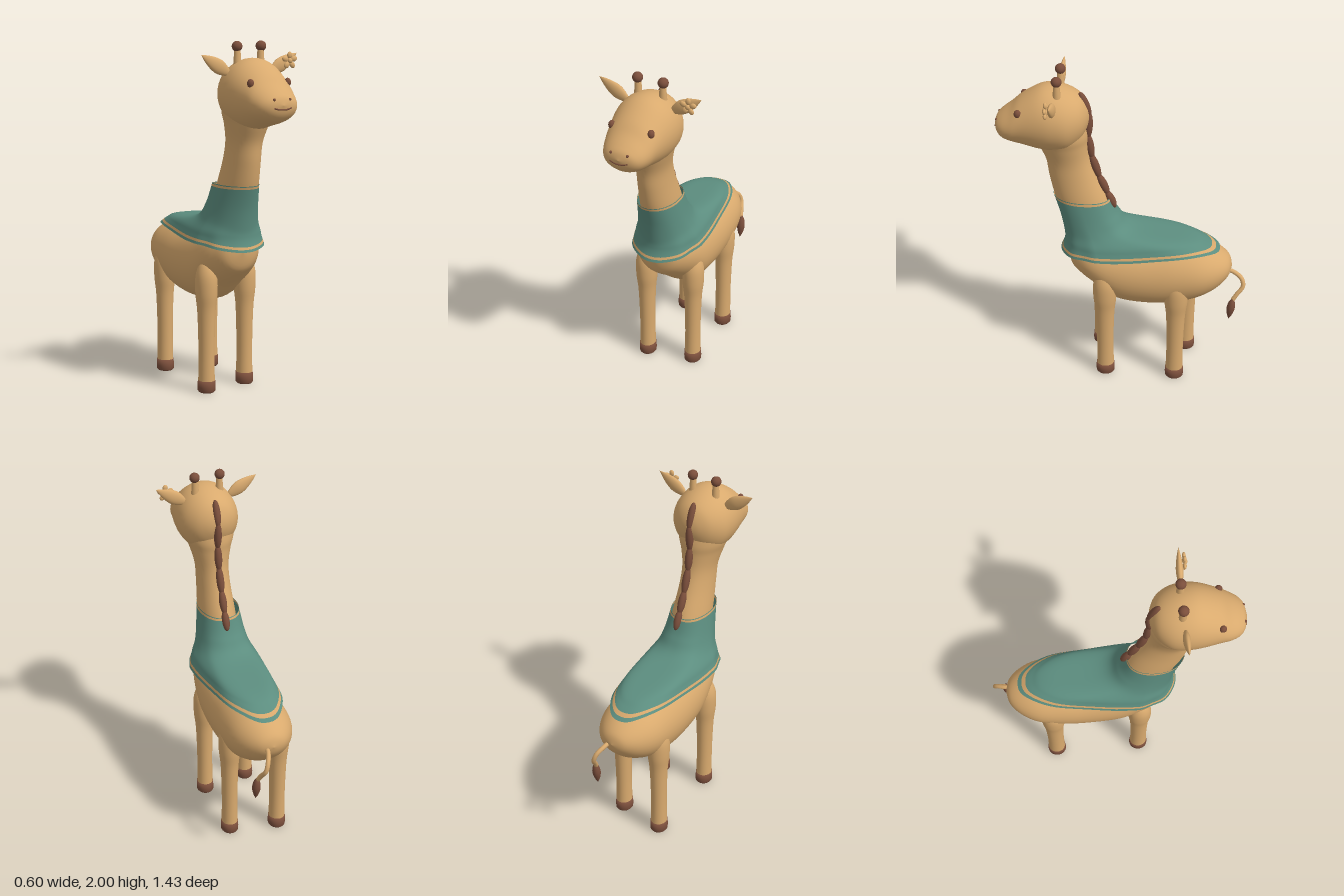
import * as THREE from 'three';

const mat = (name, color, side = THREE.FrontSide) => {
  const m = new THREE.MeshStandardMaterial({ color, side });
  m.name = name;
  return m;
};

// Smooth interpolation through rows of numbers, t from 0 to rows.length - 1
function sample(rows, t) {
  const n = rows.length - 1;
  const i = Math.min(Math.floor(t), n - 1), f = t - i;
  const p = (k) => rows[Math.max(0, Math.min(n, k))];
  return rows[0].map((_, c) => {
    const a = p(i - 1)[c], b = p(i)[c], d = p(i + 1)[c], e = p(i + 2)[c];
    return b + 0.5 * f * (d - a + f * (2 * a - 5 * b + 4 * d - e + f * (3 * (b - d) + e - a)));
  });
}

// Closed rings of points skinned into a surface
function loft(count, around, pointAt) {
  const pos = [], idx = [];
  for (let i = 0; i <= count; i++)
    for (let j = 0; j < around; j++) pos.push(...pointAt(i / count, (j / around) * Math.PI * 2));
  for (let i = 0; i < count; i++)
    for (let j = 0; j < around; j++) {
      const a = i * around + j, b = i * around + ((j + 1) % around);
      idx.push(a, b, a + around, b, b + around, a + around);
    }
  const g = new THREE.BufferGeometry();
  g.setAttribute('position', new THREE.Float32BufferAttribute(pos, 3));
  g.setIndex(idx);
  g.computeVertexNormals();
  return g;
}

// Sections along z: [z, bottom, top, halfWidth]
const loftZ = (rows, cx) => loft((rows.length - 1) * 5, 40, (v, a) => {
  const [z, lo, hi, w] = sample(rows, v * (rows.length - 1));
  return [cx + Math.max(w, 0) * Math.cos(a), (lo + hi) / 2 + Math.max(hi - lo, 0) / 2 * Math.sin(a), z];
});

// Sections along y: [y, back, front, halfWidth]
const loftY = (rows, cx) => loft((rows.length - 1) * 5, 40, (v, a) => {
  const [y, back, front, w] = sample(rows, v * (rows.length - 1));
  return [cx + w * Math.sin(a), y, (back + front) / 2 + (front - back) / 2 * Math.cos(a)];
});

export function createModel() {
  const model = new THREE.Group();
  model.name = 'giraffe';
  const tan = mat('tan', 0xd9aa6e);
  const trim = mat('trim', 0xd6a76c, THREE.DoubleSide);
  const brown = mat('brown', 0x7a4e3b);
  const teal = mat('teal', 0x5c8d7f, THREE.DoubleSide);

  const add = (name, geo, material, x = 0, y = 0, z = 0, parent = model) => {
    const m = new THREE.Mesh(geo, material);
    m.name = name;
    m.position.set(x, y, z);
    parent.add(m);
    return m;
  };
  const ball = new THREE.SphereGeometry(1, 24, 16);
  const lathe = (pts, n = 28) => new THREE.LatheGeometry(
    new THREE.SplineCurve(pts.map((p) => new THREE.Vector2(...p))).getPoints(pts.length * 4)
      .map((p) => new THREE.Vector2(Math.max(p.x, 0), p.y)), n);
  const bodyX = -0.025, headX = -0.012;

  // Torso, neck and head
  add('torso', loftZ([
    [-0.635, 0.76, 0.76, 0], [-0.615, 0.70, 0.82, 0.075], [-0.55, 0.625, 0.87, 0.14],
    [-0.45, 0.56, 0.91, 0.185], [-0.31, 0.51, 0.93, 0.2], [-0.15, 0.49, 0.93, 0.2],
    [0.03, 0.51, 0.95, 0.195], [0.16, 0.61, 0.97, 0.18], [0.24, 0.67, 0.97, 0.15],
    [0.3, 0.73, 0.94, 0.1], [0.325, 0.83, 0.83, 0]], bodyX), tan);
  add('neck', loftY([
    [0.75, 0, 0.28, 0.12], [0.95, 0, 0.325, 0.125], [1.1, 0.06, 0.36, 0.11],
    [1.21, 0.1, 0.397, 0.103], [1.34, 0.155, 0.424, 0.094], [1.45, 0.19, 0.44, 0.095],
    [1.55, 0.2, 0.48, 0.118], [1.62, 0.2, 0.5, 0.14], [1.72, 0.22, 0.5, 0.15]], -0.018), tan);
  add('head', loftZ([
    [0.188, 1.73, 1.73, 0], [0.2, 1.67, 1.79, 0.06], [0.235, 1.6, 1.85, 0.12],
    [0.3, 1.54, 1.89, 0.165], [0.38, 1.525, 1.91, 0.178], [0.46, 1.53, 1.9, 0.172],
    [0.56, 1.555, 1.84, 0.15], [0.62, 1.57, 1.785, 0.135], [0.67, 1.59, 1.745, 0.11],
    [0.7, 1.625, 1.715, 0.07], [0.714, 1.675, 1.675, 0]], headX), tan);

  // Legs and hooves
  const legGeo = lathe([[0.047, 0.06], [0.045, 0.2], [0.047, 0.35], [0.052, 0.48],
    [0.062, 0.58], [0.06, 0.68], [0.035, 0.75], [0, 0.77]]);
  const hoofGeo = new THREE.LatheGeometry([[0, 0], [0.044, 0], [0.05, 0.008], [0.051, 0.03],
    [0.049, 0.068], [0, 0.07]].map((p) => new THREE.Vector2(...p)), 28);
  for (const [name, x, z] of [['frontLeftLeg', 0.14, 0.1], ['frontRightLeg', -0.14, 0.15],
    ['backLeftLeg', 0.14, -0.32], ['backRightLeg', -0.14, -0.37]]) {
    const leg = new THREE.Group();
    leg.name = name;
    leg.position.set(bodyX + x, 0, z);
    add('shank', legGeo, tan, 0, 0, 0, leg);
    add('hoof', hoofGeo, brown, 0, 0, 0, leg);
    leg.scale.z = 1.1;
    model.add(leg);
  }

  // Cape levels: front z, y; half width, side y, middle z; back z, y
  const levels = [
    [0.405, 1.21, 0.115, 1.21, 0.24, 0.08, 1.2], [0.368, 1.08, 0.135, 1.08, 0.2, 0.03, 1.09],
    [0.348, 0.97, 0.155, 1.0, 0.17, -0.07, 1.0], [0.345, 0.92, 0.18, 0.945, 0.15, -0.38, 0.96],
    [0.352, 0.88, 0.19, 0.912, 0.14, -0.48, 0.925], [0.37, 0.835, 0.205, 0.868, 0.13, -0.56, 0.88]];
  const capePoint = (t, a) => {
    const [fz, fy, w, sy, mz, bz, by] = sample(levels, t);
    const c = Math.cos(a), s = Math.sin(a), drape = t / 5;
    const fold = 1 + 0.025 * drape * Math.cos(8 * a);
    const pow = (q) => Math.sign(q) * Math.pow(Math.abs(q), c < 0 ? 0.87 : 1);
    const end = c > 0 ? fz : bz;
    const y = sy + ((c > 0 ? fy : by) - sy) * c * c;
    const flankLift = c < 0 ? 0.025 * drape * drape * Math.sin(2 * a) ** 2 : 0;
    return [bodyX - w * pow(s) * fold, y + flankLift, mz + (end - mz) * Math.abs(pow(c))];
  };
  const cape = new THREE.Group();
  cape.name = 'cape';
  model.add(cape);
  for (const [name, from, to, m] of [['collarEdge', 0, 0.07, teal], ['collarTrim', 0.07, 0.2, trim],
    ['capeCloth', 0.2, 4.35, teal], ['hemTrim', 4.35, 4.62, trim], ['hemEdge', 4.62, 5, teal]])
    add(name, loft(Math.max(2, Math.round((to - from) * 8)), 80,
      (v, a) => capePoint(from + (to - from) * v, a)), m, 0, 0, 0, cape);

  // Ears, horns, eyes and nostrils, mirrored
  const earGeo = lathe([[0, 0], [0.022, 0.02], [0.039, 0.07], [0.036, 0.115], [0.02, 0.165], [0, 0.205]]);
  const stalkGeo = new THREE.CylinderGeometry(0.016, 0.023, 0.1, 20);
  for (const s of [1, -1]) {
    const side = s > 0 ? 'left' : 'right';
    const ear = add(side + 'Ear', earGeo, tan, headX + s * 0.125, 1.825, 0.365);
    ear.rotation.z = -s * 1.03;
    ear.scale.z = 0.5;
    add(side + 'Horn', stalkGeo, tan, headX + s * 0.073, 1.92, 0.355);
    add(side + 'HornTip', ball, brown, headX + s * 0.075, 1.972, 0.355).scale.setScalar(0.029);
    const eye = add(side + 'Eye', ball, brown, headX + s * 0.115, 1.785, 0.566);
    eye.scale.set(0.018, 0.024, 0.02);
    add(side + 'Nostril', ball, brown, headX + s * 0.048, 1.705, 0.697).scale.setScalar(0.008);
  }

  // Smile
  add('mouth', new THREE.TubeGeometry(new THREE.CatmullRomCurve3([
    [-0.052, 1.661, 0.704], [-0.025, 1.654, 0.71], [0, 1.653, 0.712], [0.025, 1.654, 0.71], [0.052, 1.661, 0.704],
  ].map(([x, y, z]) => new THREE.Vector3(headX + x, y, z))), 20, 0.004, 8), brown);

  // Flower on the left ear
  const flower = new THREE.Group();
  flower.name = 'flower';
  flower.position.set(0.225, 1.89, 0.392);
  model.add(flower);
  add('flowerCentre', ball, tan, 0, 0, 0.006, flower).scale.set(0.014, 0.014, 0.01);
  for (let i = 0; i < 5; i++) {
    const a = Math.PI / 2 + i * Math.PI * 0.4;
    const petal = add('petal', ball, tan, 0.03 * Math.cos(a), 0.03 * Math.sin(a), 0, flower);
    petal.scale.set(0.019, 0.015, 0.01);
    petal.rotation.z = a;
  }

  // Mane: overlapping tufts down the back of the neck
  const mane = [[1.86, 0.235], [1.74, 0.192], [1.6, 0.2], [1.47, 0.182], [1.34, 0.142], [1.23, 0.095], [1.14, 0.055]]
    .map(([y, z]) => new THREE.Vector3(-0.015, y, z));
  for (let i = 0; i < mane.length - 1; i++) {
    const dir = mane[i].clone().sub(mane[i + 1]);
    const mid = mane[i].clone().add(mane[i + 1]).multiplyScalar(0.5);
    const tuft = add('maneTuft', ball, brown, mid.x, mid.y, mid.z);
    tuft.scale.set(0.022, dir.length() * 0.62, 0.024);
    tuft.quaternion.setFromUnitVectors(new THREE.Vector3(0, 1, 0), dir.normalize());
  }

  // Tail and its tuft
  add('tail', new THREE.TubeGeometry(new THREE.CatmullRomCurve3([
    [0.005, 0.75, -0.6], [0.015, 0.74, -0.65], [0.035, 0.71, -0.695], [0.05, 0.665, -0.705],
    [0.065, 0.62, -0.675], [0.075, 0.58, -0.65],
  ].map((p) => new THREE.Vector3(...p))), 30, 0.013, 12), tan);
  const tailTuft = add('tailTuft', lathe([[0, 0], [0.015, 0.035], [0.024, 0.08], [0.018, 0.125], [0, 0.16]], 20),
    brown, 0.08, 0.44, -0.632);
  tailTuft.rotation.x = -0.12;

  return model;
}
